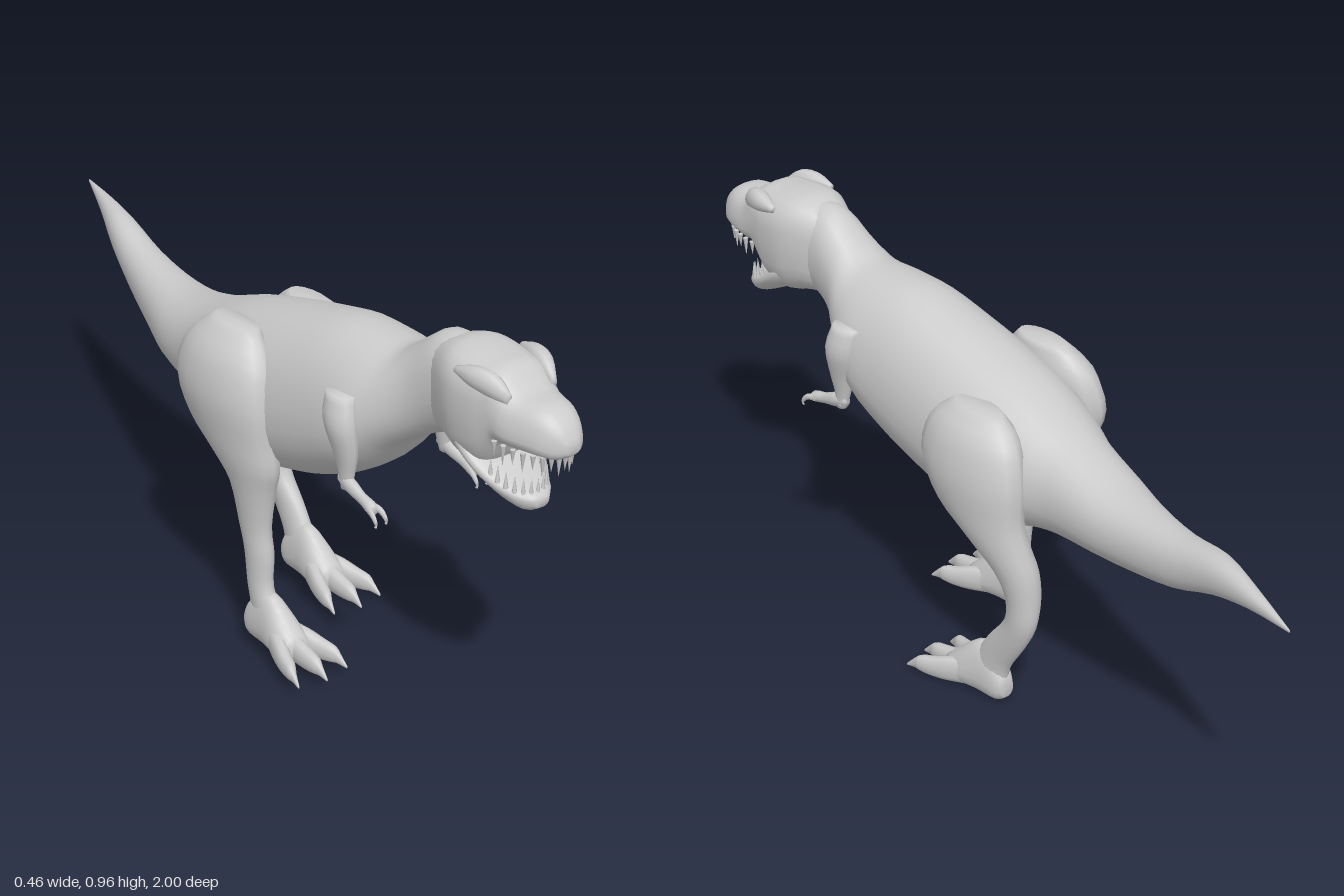
import * as THREE from 'three';

const material = new THREE.MeshStandardMaterial({ color: 0xcccccc, roughness: 0.8 });

// Smooth interpolation between cross-section rows
function refine(rows, steps) {
  const out = [];
  const at = (i) => rows[Math.min(rows.length - 1, Math.max(0, i))];
  for (let i = 0; i < rows.length - 1; i++) {
    for (let s = 0; s < steps; s++) {
      const t = s / steps;
      out.push(rows[i].map((p1, c) => {
        const p0 = at(i - 1)[c], p2 = at(i + 1)[c], p3 = at(i + 2)[c];
        const m1 = (p2 - p0) / 2, m2 = (p3 - p1) / 2;
        const t2 = t * t, t3 = t2 * t;
        return (2 * t3 - 3 * t2 + 1) * p1 + (t3 - 2 * t2 + t) * m1 + (3 * t2 - 2 * t3) * p2 + (t3 - t2) * m2;
      }));
    }
  }
  out.push(rows[rows.length - 1]);
  return out;
}

// Skin closed rings; point(row, cos, sin) gives a surface point
function skin(name, rows, point, sides = 20, steps = 3) {
  const fine = refine(rows, steps);
  const pos = [], idx = [];
  fine.forEach((row) => {
    for (let j = 0; j < sides; j++) {
      const a = (j / sides) * Math.PI * 2;
      pos.push(...point(row, Math.cos(a), Math.sin(a)));
    }
  });
  const last = (fine.length - 1) * sides;
  const capA = pos.length / 3;
  pos.push(...point(fine[0], 0, 0), ...point(fine[fine.length - 1], 0, 0));
  for (let i = 0; i < fine.length - 1; i++) {
    for (let j = 0; j < sides; j++) {
      const a = i * sides + j, b = i * sides + (j + 1) % sides;
      idx.push(a, b, a + sides, b, b + sides, a + sides);
    }
  }
  for (let j = 0; j < sides; j++) {
    const k = (j + 1) % sides;
    idx.push(capA, k, j, capA + 1, last + j, last + k);
  }
  // Turn the faces outward by signed volume
  const v = (i) => new THREE.Vector3().fromArray(pos, i * 3);
  let volume = 0;
  for (let i = 0; i < idx.length; i += 3) volume += v(idx[i]).dot(v(idx[i + 1]).cross(v(idx[i + 2])));
  if (volume < 0) idx.reverse();
  const g = new THREE.BufferGeometry();
  g.setAttribute('position', new THREE.Float32BufferAttribute(pos, 3));
  g.setIndex(idx);
  g.computeVertexNormals();
  const mesh = new THREE.Mesh(g, material);
  mesh.name = name;
  return mesh;
}

// Superellipse exponent: below 1 is boxier
const bulge = (v, e) => Math.sign(v) * Math.pow(Math.abs(v), e);

// Rows run along z: [z, top, bottom, half width, centre x, top flare]
const along = (name, rows, e = 1, sides = 20, steps = 3) => skin(name, rows, ([z, top, bot, w, cx, k], c, s) => {
  const q = bulge(s, e);
  return [cx + w * bulge(c, e) * (1 + k * q), (top + bot) / 2 + (top - bot) / 2 * q, z];
}, sides, steps);

// Rows run along y: [y, centre x, centre z, half width, half depth]
const upright = (name, rows, sides = 16, steps = 3) => skin(name, rows,
  ([y, cx, cz, w, d], c, s) => [cx + w * c, y, cz + d * s], sides, steps);

function cone(name, r, h, x, y, z, down) {
  const mesh = new THREE.Mesh(new THREE.ConeGeometry(r, h, 6), material);
  mesh.name = name;
  mesh.position.set(x, y, z);
  if (down) mesh.rotation.x = Math.PI;
  return mesh;
}

function createHead() {
  const head = new THREE.Group();
  head.name = 'head';
  head.add(along('skull', [
    [0.62, 0.94, 0.74, 0.06, 0, 0],
    [0.68, 0.965, 0.73, 0.085, 0, 0.1],
    [0.73, 0.967, 0.715, 0.098, 0, 0.1],
    [0.785, 0.962, 0.715, 0.095, 0, 0.1],
    [0.815, 0.96, 0.75, 0.09, 0, 0.04],
    [0.84, 0.95, 0.795, 0.086, 0, -0.04],
    [0.88, 0.918, 0.805, 0.08, 0, -0.15],
    [0.94, 0.912, 0.808, 0.064, 0, -0.18],
    [0.98, 0.885, 0.81, 0.042, 0, -0.15],
    [1.0, 0.85, 0.825, 0.016, 0, 0],
  ], 0.72, 24));
  head.add(along('lowerJaw', [
    [0.69, 0.82, 0.75, 0.075, 0, 0.1],
    [0.75, 0.79, 0.717, 0.084, 0, 0.2],
    [0.80, 0.75, 0.69, 0.078, 0, 0.25],
    [0.85, 0.72, 0.665, 0.062, 0, 0.25],
    [0.89, 0.705, 0.653, 0.044, 0, 0.25],
    [0.917, 0.69, 0.667, 0.018, 0, 0.1],
  ], 0.8));
  // Brow ridges above the eye sockets
  for (const side of [-1, 1]) {
    head.add(along('brow', [
      [0.74, 0.945, 0.93, 0.008, side * 0.088, 0],
      [0.79, 0.962, 0.915, 0.022, side * 0.08, 0],
      [0.835, 0.957, 0.905, 0.02, side * 0.07, 0],
      [0.87, 0.925, 0.9, 0.008, side * 0.06, 0],
    ], 0.9, 10));
  }
  // Teeth follow the curve of each jaw
  for (let i = 0; i < 17; i++) {
    const a = (i / 16 - 0.5) * Math.PI;
    const h = 0.034 + 0.012 * (i % 2);
    head.add(cone('upperTooth', 0.0065, h, 0.073 * Math.sin(a), 0.813 - h / 2, 0.845 + 0.132 * Math.cos(a), true));
  }
  for (let i = 0; i < 13; i++) {
    const a = (i / 12 - 0.5) * Math.PI;
    const z = 0.825 + 0.077 * Math.cos(a);
    head.add(cone('lowerTooth', 0.006, 0.04, 0.062 * Math.sin(a), 0.71 + (0.9 - z) * 0.42, z, false));
  }
  return head;
}

function createArm(side) {
  const arm = new THREE.Group();
  arm.name = side > 0 ? 'leftArm' : 'rightArm';
  arm.add(upright('upperArm', [
    [0.77, side * 0.135, 0.43, 0.025, 0.04],
    [0.71, side * 0.145, 0.44, 0.032, 0.045],
    [0.64, side * 0.138, 0.45, 0.024, 0.034],
    [0.59, side * 0.135, 0.452, 0.016, 0.023],
    [0.55, side * 0.137, 0.455, 0.011, 0.014],
  ], 12));
  arm.add(along('forearm', [
    [0.435, 0.582, 0.558, 0.009, side * 0.137, 0],
    [0.47, 0.582, 0.545, 0.014, side * 0.138, 0],
    [0.51, 0.565, 0.537, 0.011, side * 0.139, 0],
    [0.54, 0.558, 0.53, 0.014, side * 0.14, 0],
    [0.555, 0.55, 0.53, 0.01, side * 0.14, 0],
  ], 1, 10));
  for (const d of [-1, 1]) {
    arm.add(along('finger', [
      [0.535, 0.553, 0.533, 0.007, side * 0.14 + d * 0.006, 0],
      [0.56, 0.547, 0.531, 0.006, side * 0.14 + d * 0.012, 0],
      [0.578, 0.53, 0.514, 0.003, side * 0.14 + d * 0.014, 0],
      [0.572, 0.516, 0.512, 0.001, side * 0.14 + d * 0.014, 0],
    ], 1, 8));
  }
  return arm;
}

function createFoot(x, y, z) {
  const foot = new THREE.Group();
  foot.name = 'foot';
  foot.position.set(x, y, z);
  foot.add(along('sole', [
    [-0.108, 0.06, 0.015, 0.018, 0, 0],
    [-0.085, 0.10, 0.0, 0.03, 0, -0.1],
    [-0.03, 0.135, 0.0, 0.034, 0, -0.25],
    [0.03, 0.095, 0.0, 0.042, 0, -0.25],
    [0.075, 0.055, 0.003, 0.036, 0, -0.15],
  ], 0.85));
  for (const d of [-1, 0, 1]) {
    const reach = d ? 0 : 0.015;
    foot.add(along('toe', [
      [0.0, 0.075, 0.005, 0.018, d * 0.018, 0],
      [0.05, 0.065, 0.0, 0.02, d * 0.036, 0],
      [0.09 + reach, 0.052, 0.0, 0.018, d * 0.05, 0],
      [0.12 + reach, 0.045, 0.003, 0.014, d * 0.059, 0],
      [0.135 + reach, 0.034, 0.005, 0.008, d * 0.063, 0],
      [0.16 + reach, 0.008, 0.002, 0.002, d * 0.068, 0],
    ], 0.9, 12));
  }
  return foot;
}

export function createModel() {
  const model = new THREE.Group();
  model.name = 'dinosaur';

  // Neck, trunk and tail, the tail swinging to one side
  model.add(along('bodyAndTail', [
    [0.70, 0.955, 0.75, 0.066, 0, 0],
    [0.62, 0.955, 0.715, 0.072, 0, 0],
    [0.56, 0.915, 0.68, 0.086, 0, -0.08],
    [0.50, 0.872, 0.635, 0.12, 0, -0.15],
    [0.43, 0.868, 0.555, 0.152, 0, -0.15],
    [0.32, 0.866, 0.487, 0.16, 0, -0.12],
    [0.20, 0.838, 0.445, 0.167, 0, -0.1],
    [0.08, 0.805, 0.42, 0.172, 0, -0.1],
    [-0.04, 0.767, 0.418, 0.165, 0.002, -0.1],
    [-0.14, 0.725, 0.452, 0.138, 0.01, -0.08],
    [-0.22, 0.693, 0.467, 0.112, 0.02, -0.05],
    [-0.34, 0.658, 0.478, 0.097, 0.037, 0],
    [-0.46, 0.648, 0.497, 0.075, 0.062, 0],
    [-0.60, 0.655, 0.53, 0.055, 0.092, 0],
    [-0.73, 0.678, 0.585, 0.04, 0.12, 0],
    [-0.86, 0.675, 0.628, 0.021, 0.16, 0],
    [-1.0, 0.661, 0.655, 0.002, 0.203, 0],
  ], 0.92, 28));
  model.add(createHead());
  for (const side of [-1, 1]) model.add(createArm(side));

  // Left leg stands back, right leg steps forward
  model.add(upright('leftLeg', [
    [0.74, 0.13, -0.01, 0.03, 0.07],
    [0.69, 0.143, -0.01, 0.064, 0.13],
    [0.60, 0.155, -0.015, 0.073, 0.152],
    [0.51, 0.158, -0.04, 0.063, 0.128],
    [0.44, 0.152, -0.092, 0.054, 0.09],
    [0.38, 0.142, -0.137, 0.047, 0.06],
    [0.31, 0.137, -0.157, 0.038, 0.044],
    [0.24, 0.141, -0.152, 0.031, 0.043],
    [0.17, 0.143, -0.108, 0.026, 0.053],
    [0.10, 0.141, -0.062, 0.026, 0.053],
    [0.04, 0.14, -0.045, 0.03, 0.055],
  ]));
  model.add(upright('rightLeg', [
    [0.79, -0.13, 0.06, 0.03, 0.07],
    [0.73, -0.148, 0.055, 0.062, 0.13],
    [0.64, -0.16, 0.055, 0.069, 0.155],
    [0.55, -0.155, 0.075, 0.062, 0.14],
    [0.48, -0.148, 0.115, 0.054, 0.105],
    [0.42, -0.145, 0.137, 0.043, 0.067],
    [0.32, -0.143, 0.142, 0.031, 0.046],
    [0.25, -0.14, 0.153, 0.029, 0.041],
    [0.17, -0.14, 0.157, 0.025, 0.037],
    [0.11, -0.139, 0.178, 0.026, 0.048],
    [0.06, -0.138, 0.185, 0.03, 0.052],
  ]));
  model.add(createFoot(0.14, 0.004, 0));
  model.add(createFoot(-0.137, 0.027, 0.222));
  return model;
}
